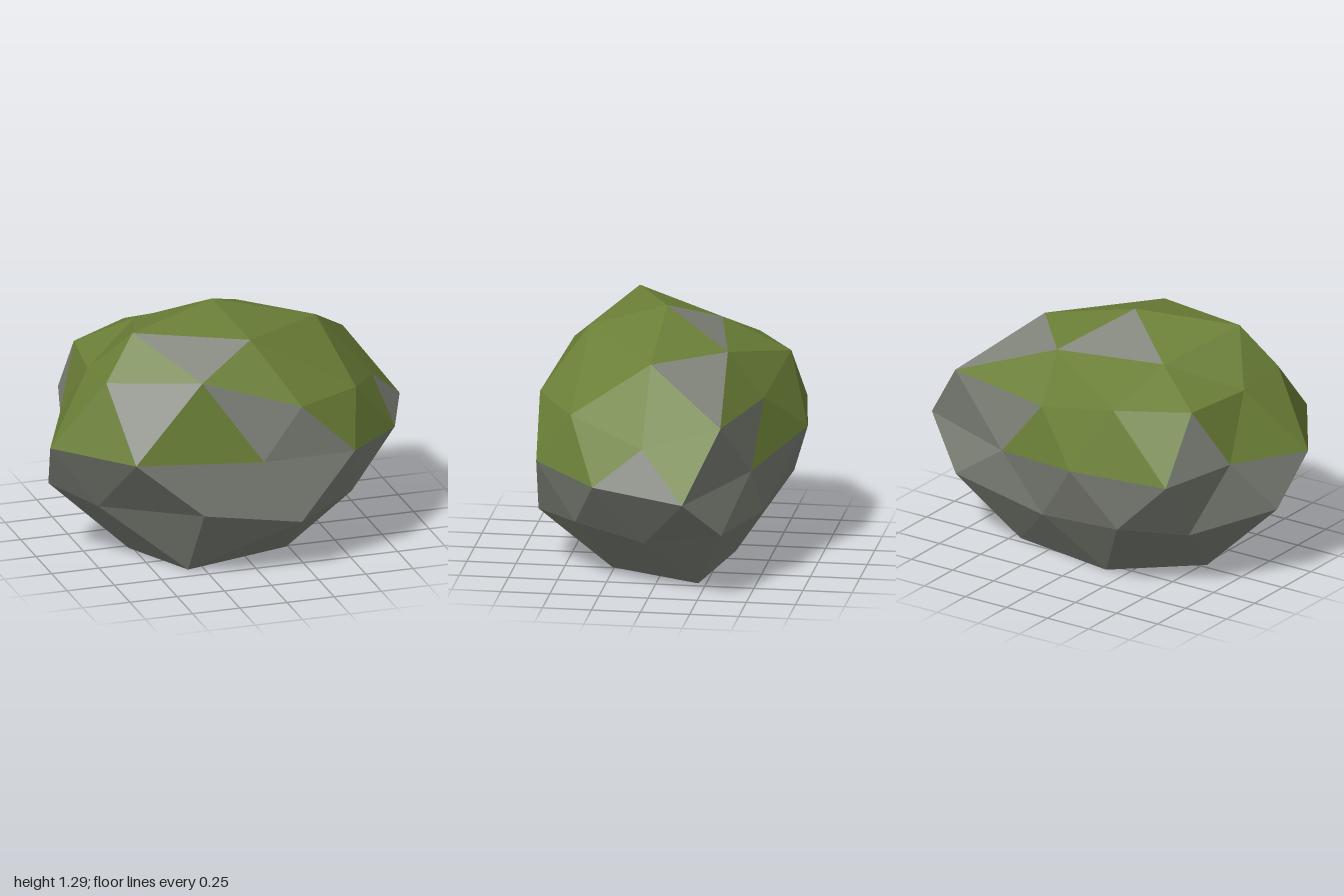
import * as THREE from 'three';

// Rings of points from the crown down; each runs around the rock from +x towards +z.
const crown = [-0.08, 1.293, 0.03];
const shoulder = [[0.47, 1.142, 0.03], [0, 1.2, 0.41], [-0.57, 1.245, 0.245], [-0.41, 1.146, -0.2], [0.16, 1.133, -0.315]];
const upper = [[0.77, 0.783, 0.03], [0.2, 0.897, 0.635], [-0.74, 1.03, 0.34], [-0.685, 0.998, -0.35], [0.13, 0.893, -0.495]];
const upperMid = [[0.555, 0.885, 0.425], [-0.295, 1.045, 0.535], [-0.74, 1.0, 0.035], [-0.35, 1.003, -0.56], [0.745, 0.903, -0.367]];
const waist = [[0.81, 0.585, 0.275], [0.49, 0.617, 0.61], [0, 0.62, 0.63], [-0.69, 0.695, 0.67], [-1, 0.668, 0.227],
  [-0.81, 0.69, -0.19], [-0.69, 0.666, -0.59], [-0.16, 0.667, -0.673], [0.39, 0.582, -0.47], [0.995, 0.565, -0.21]];
const lower = [[0.54, 0.32, 0.405], [-0.33, 0.383, 0.673], [-0.945, 0.402, 0.03], [-0.38, 0.365, -0.57], [0.74, 0.34, -0.37]];
const lowerMid = [[0.197, 0.279, 0.643], [-0.75, 0.33, 0.24], [-0.66, 0.32, -0.34], [0.13, 0.3, -0.49], [0.66, 0.26, 0.035]];
const foot = [[0.24, 0, 0.26], [-0.33, 0, 0.41], [-0.52, 0, 0.03], [-0.135, 0, -0.31], [0.455, 0, -0.21]];
const base = [0, 0, 0.03];

// Moss (m) or bare stone (g) for the eight upper facets of each sector.
const cover = ['mmmmmmmg', 'mgmmggmg', 'mmmmmmmm', 'gmmmmmmg', 'mgmmgmgm'];

function facetMesh(name, facets, material) {
  const geometry = new THREE.BufferGeometry();
  geometry.setAttribute('position', new THREE.Float32BufferAttribute(facets.flat(2), 3));
  geometry.computeVertexNormals();
  const mesh = new THREE.Mesh(geometry, material);
  mesh.name = name;
  return mesh;
}

export function createModel() {
  const stone = new THREE.MeshStandardMaterial({ color: 0x80847a, flatShading: true });
  stone.name = 'stone grey';
  const moss = new THREE.MeshStandardMaterial({ color: 0x6b7f37, flatShading: true });
  moss.name = 'moss green';

  const stoneFacets = [];
  const mossFacets = [];
  for (let i = 0; i < 5; i++) {
    const j = (i + 1) % 5;
    const w0 = waist[2 * i], w1 = waist[2 * i + 1], w2 = waist[2 * j];
    const before = waist[(2 * i + 9) % 10];
    const mid = upperMid[i], low = lowerMid[i];

    // Upper half: crown, shoulder and waist facets
    [
      [crown, shoulder[j], shoulder[i]],
      [shoulder[i], shoulder[j], mid],
      [shoulder[i], mid, upper[i]],
      [mid, shoulder[j], upper[j]],
      [upper[i], mid, w0],
      [mid, upper[j], w1],
      [mid, w1, w0],
      [upper[i], w0, before],
    ].forEach((facet, k) => (cover[i][k] === 'm' ? mossFacets : stoneFacets).push(facet));

    // Lower half and flat underside
    stoneFacets.push(
      [lower[i], w0, w1],
      [w1, w2, low],
      [lower[i], w1, low],
      [w2, lower[j], low],
      [lower[i], low, foot[i]],
      [low, lower[j], foot[j]],
      [low, foot[j], foot[i]],
      [base, foot[i], foot[j]],
    );
  }

  const rock = new THREE.Group();
  rock.name = 'mossyRock';
  rock.add(facetMesh('bareStone', stoneFacets, stone), facetMesh('mossCover', mossFacets, moss));
  return rock;
}
